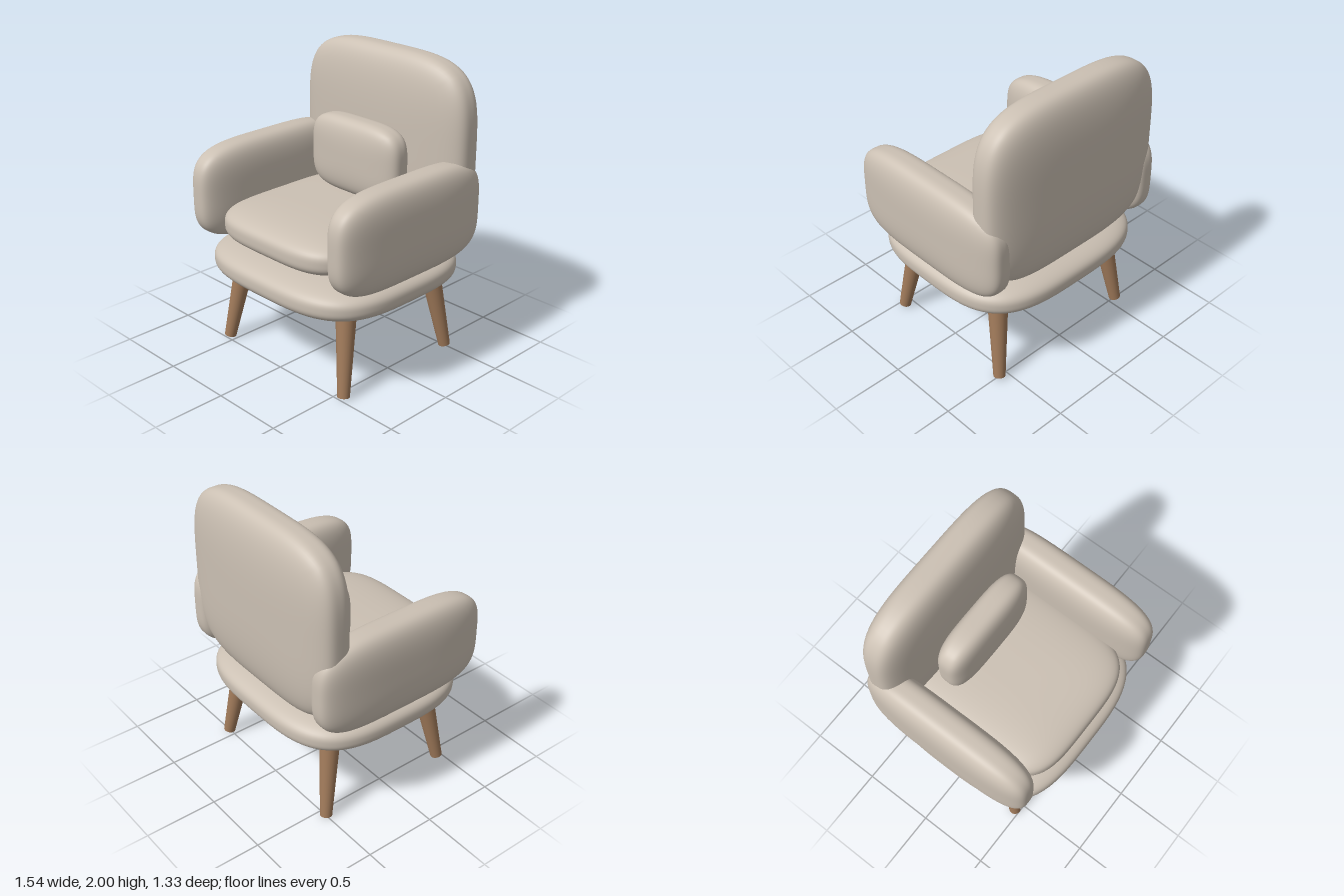
import * as THREE from 'three';
import { mergeVertices } from 'three/addons/utils/BufferGeometryUtils.js';

const fabric = new THREE.MeshStandardMaterial({ color: 0xcbc0b3 });
fabric.name = 'beige fabric';
const wood = new THREE.MeshStandardMaterial({ color: 0xa07a5a });
wood.name = 'brown wood';

// Stuffed cushion: a box inflated to a rounded pad. half = half sizes,
// thin = index of the thin axis, outline / edge = squareness of outline and edge.
function cushion(name, half, center, thin, outline = 4, edge = 3.2) {
  let geo = new THREE.BoxGeometry(2, 2, 2, 24, 24, 24);
  geo.deleteAttribute('uv');
  geo.deleteAttribute('normal');
  geo = mergeVertices(geo, 1e-4);
  const pos = geo.attributes.position;
  const [u, v] = [0, 1, 2].filter((i) => i !== thin);
  for (let i = 0; i < pos.count; i++) {
    const p = [pos.getX(i), pos.getY(i), pos.getZ(i)];
    const flat = Math.abs(p[u]) ** outline + Math.abs(p[v]) ** outline;
    const r = (flat ** (edge / outline) + Math.abs(p[thin]) ** edge) ** (1 / edge);
    pos.setXYZ(i, (p[0] / r) * half[0], (p[1] / r) * half[1], (p[2] / r) * half[2]);
  }
  geo.computeVertexNormals();
  const mesh = new THREE.Mesh(geo, fabric);
  mesh.name = name;
  mesh.position.set(...center);
  return mesh;
}

// Tapered round leg between two points
function leg(name, top, bottom) {
  const a = new THREE.Vector3(...top);
  const b = new THREE.Vector3(...bottom);
  const axis = a.clone().sub(b);
  const mesh = new THREE.Mesh(new THREE.CylinderGeometry(0.068, 0.04, axis.length(), 24), wood);
  mesh.name = name;
  mesh.position.copy(a).add(b).multiplyScalar(0.5);
  mesh.quaternion.setFromUnitVectors(new THREE.Vector3(0, 1, 0), axis.normalize());
  return mesh;
}

export function createModel() {
  const chair = new THREE.Group();
  chair.name = 'armchair';

  // Upholstery
  chair.add(
    cushion('seatBase', [0.725, 0.138, 0.666], [0, 0.638, 0], 1, 3.4, 3),
    cushion('seatCushion', [0.58, 0.135, 0.625], [0, 0.91, 0], 1),
    cushion('backrest', [0.707, 0.612, 0.164], [0, 1.388, -0.503], 2),
    cushion('lumbarPillow', [0.387, 0.258, 0.117], [0, 1.297, -0.223], 2),
  );

  // Arms and splayed legs, mirrored left and right
  for (const [side, s] of [['left', 1], ['right', -1]]) {
    chair.add(
      cushion(side + 'Arm', [0.135, 0.328, 0.633], [s * 0.634, 1.057, 0], 0),
      leg(side + 'FrontLeg', [s * 0.484, 0.57, 0.37], [s * 0.558, 0.009, 0.465]),
      leg(side + 'BackLeg', [s * 0.484, 0.57, -0.41], [s * 0.558, 0.009, -0.501]),
    );
  }
  return chair;
}
